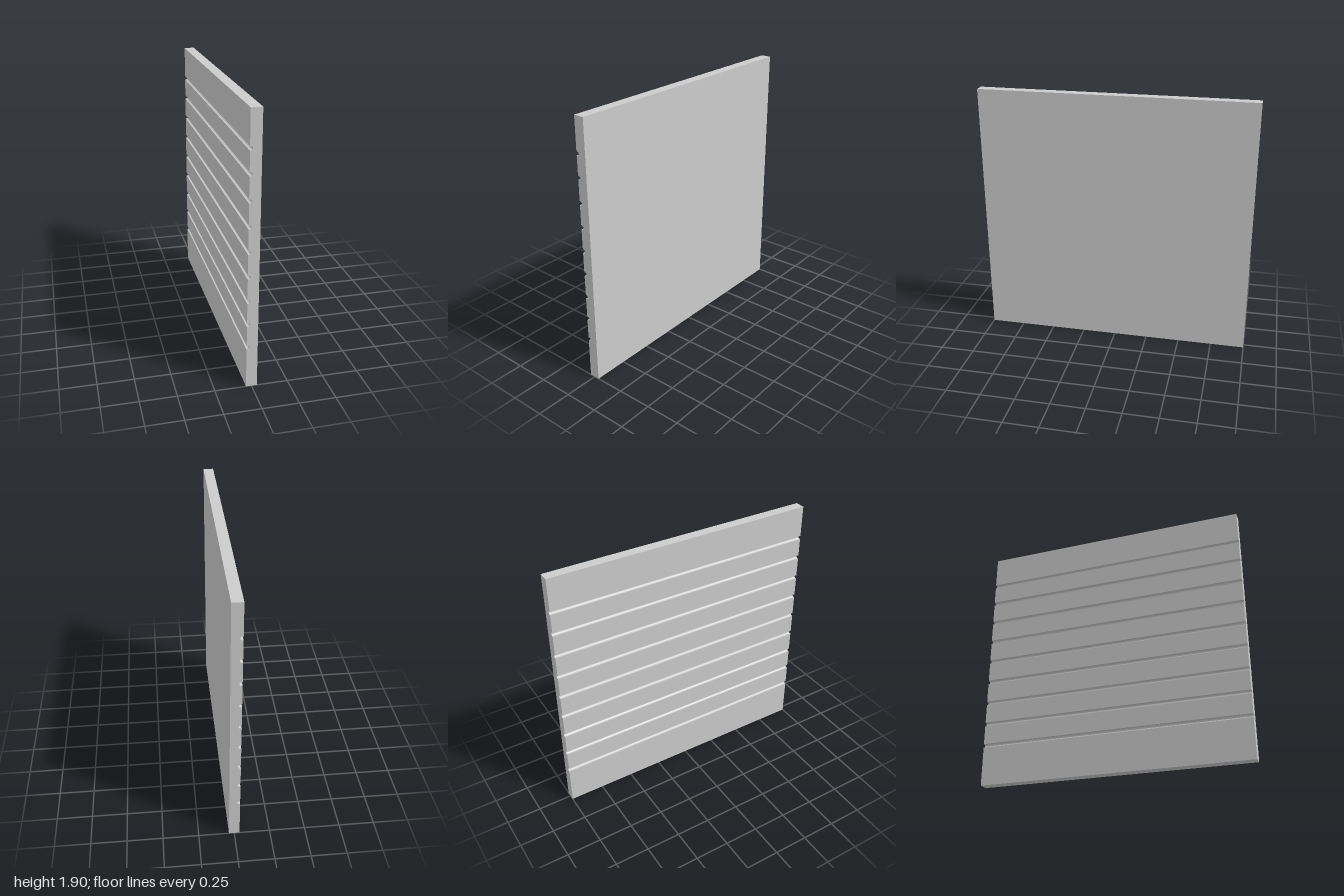
import * as THREE from 'three';
import { toCreasedNormals } from 'three/addons/utils/BufferGeometryUtils.js';

const HALF = 0.0375, HEIGHT = 1.9, LENGTH = 2;
const GROOVES = [0.3, 0.468, 0.637, 0.81, 0.981, 1.152, 1.322, 1.494, 1.655];
const RADIUS = 0.014, GROOVE_X = -0.032;

export function createModel() {
  const group = new THREE.Group();
  group.name = 'groovedPanel';

  // Panel end profile, with round-bottomed grooves down the -x edge
  const profile = new THREE.Shape();
  profile.moveTo(-HALF, 0);
  profile.lineTo(HALF, 0);
  profile.lineTo(HALF, HEIGHT);
  profile.lineTo(-HALF, HEIGHT);
  for (const y of [...GROOVES].reverse()) {
    profile.lineTo(-HALF, y + RADIUS);
    profile.lineTo(GROOVE_X, y + RADIUS);
    profile.absarc(GROOVE_X, y, RADIUS, Math.PI / 2, -Math.PI / 2, true);
    profile.lineTo(-HALF, y - RADIUS);
  }
  profile.closePath();

  // Extruded along z and centred
  const geometry = new THREE.ExtrudeGeometry(profile, {
    depth: LENGTH, bevelEnabled: false, curveSegments: 12,
  });
  geometry.translate(0, 0, -LENGTH / 2);

  const panel = new THREE.Mesh(
    toCreasedNormals(geometry, Math.PI / 6),
    new THREE.MeshStandardMaterial({ color: 0xcccccc }),
  );
  panel.name = 'panel';
  group.add(panel);
  return group;
}
